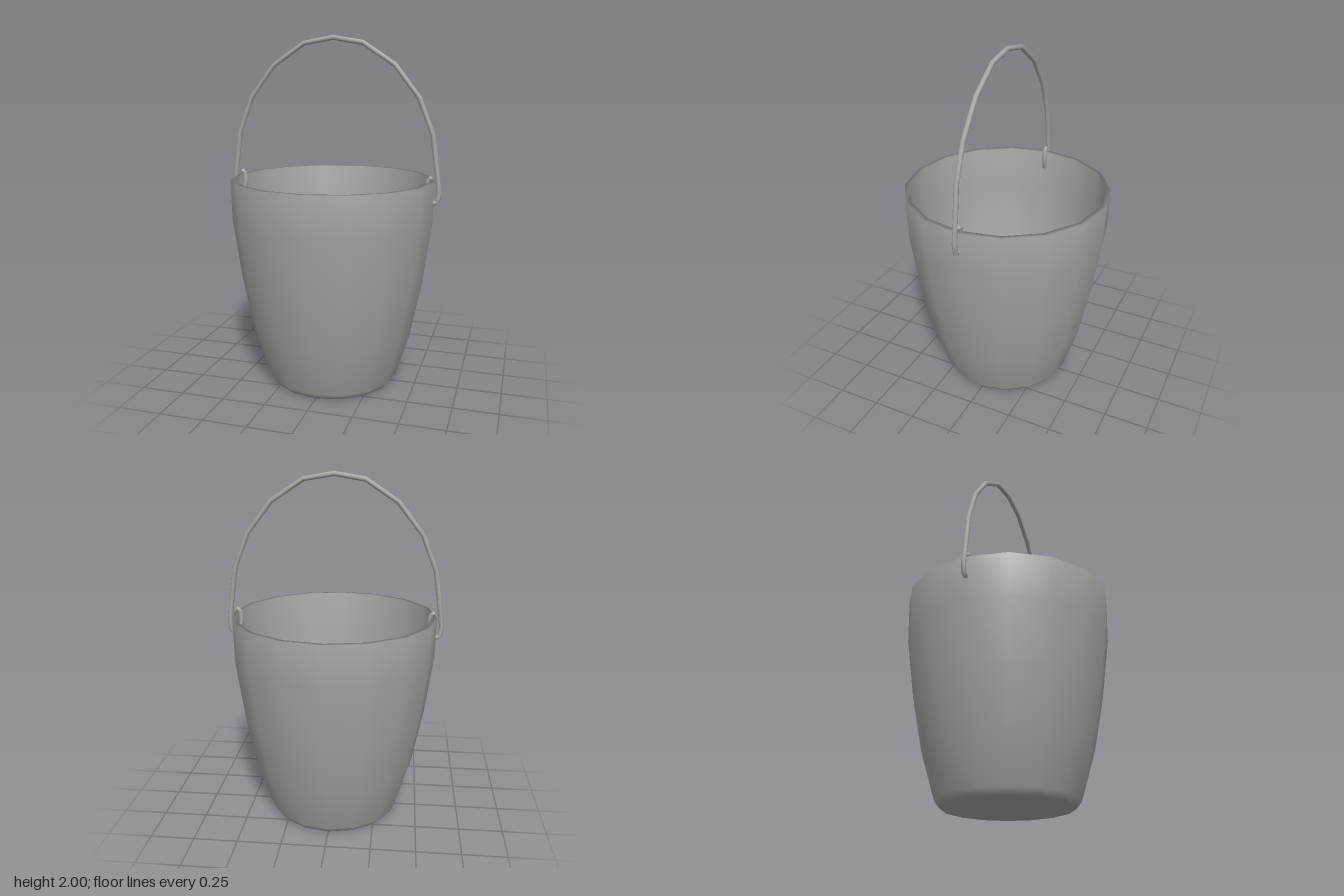
import * as THREE from 'three';

// Straight-segment path that keeps every bend of the wire crisp
class WirePath extends THREE.Curve {
  constructor(points) {
    super();
    this.points = points;
  }
  getPoint(t, target = new THREE.Vector3()) {
    const n = this.points.length - 1;
    const i = Math.min(Math.floor(t * n), n - 1);
    return target.lerpVectors(this.points[i], this.points[i + 1], t * n - i);
  }
  getPointAt(t, target) { return this.getPoint(t, target); }
  getTangentAt(t, target) { return this.getTangent(t, target); }
}

export function createModel() {
  const model = new THREE.Group();
  model.name = 'bucket';
  const metal = new THREE.MeshStandardMaterial({ color: 0xa3a5a3 });
  metal.name = 'grey metal';

  // Body: outer wall upwards, over the rim, then down inside to the floor
  const profile = [
    [0, 0], [0.355, 0.003], [0.385, 0.04], [0.468, 0.31], [0.53, 0.62],
    [0.578, 0.96], [0.585, 1.2],
    [0.555, 1.2], [0.55, 0.96], [0.502, 0.62], [0.44, 0.31], [0.345, 0.04], [0, 0.035],
  ].map(([r, y]) => new THREE.Vector2(r, y));
  const body = new THREE.Mesh(new THREE.LatheGeometry(profile, 16), metal);
  body.name = 'body';
  model.add(body);

  // Handle: half of the wire from the arch to the hook that passes through the wall
  const half = [
    [0.17, 1.957], [0.35, 1.838], [0.488, 1.662], [0.567, 1.465], [0.601, 1.22],
    [0.61, 1.15], [0.602, 1.092], [0.585, 1.084], [0.552, 1.1], [0.541, 1.16],
    [0.547, 1.212], [0.56, 1.221],
  ];
  const points = [
    ...half.map(([x, y]) => new THREE.Vector3(-x, y, 0)).reverse(),
    new THREE.Vector3(0, 1.986, 0),
    ...half.map(([x, y]) => new THREE.Vector3(x, y, 0)),
  ];
  const wireRadius = 0.014;
  const handle = new THREE.Mesh(
    new THREE.TubeGeometry(new WirePath(points), points.length - 1, wireRadius, 8), metal);
  handle.name = 'handle';
  model.add(handle);

  // Rounded ends of the wire
  for (const [name, end] of [['rightHookTip', points[0]], ['leftHookTip', points[points.length - 1]]]) {
    const tip = new THREE.Mesh(new THREE.SphereGeometry(wireRadius, 8, 6), metal);
    tip.name = name;
    tip.position.copy(end);
    model.add(tip);
  }
  return model;
}
